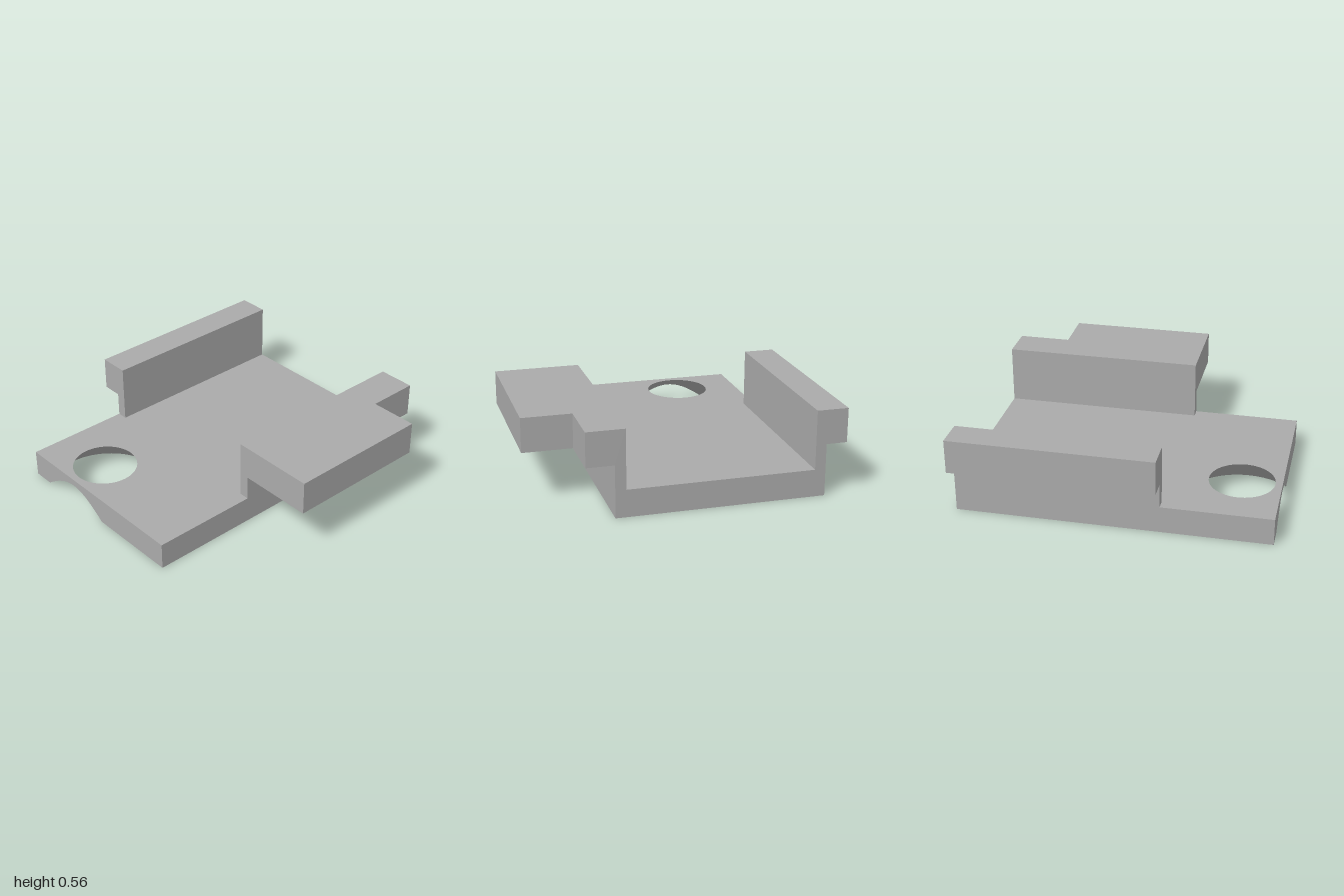
import * as THREE from 'three';
import { mergeGeometries } from 'three/addons/utils/BufferGeometryUtils.js';

const X0 = -0.84, X1 = 0.48, H = 0.175;           // plate sides and thickness
const CX = -0.415, CZ = 0.745, RT = 0.21, RB = 0.383; // countersink centre and radii
const D = 1 - CZ;                                 // hole centre to front edge
const STEP = 0.335, TOP = 0.555, RAIL_FRONT = 0.3;

const v2 = (x, y) => new THREE.Vector2(x, y);
const face = (pts, hole) => {
  const shape = new THREE.Shape(pts);
  if (hole) shape.holes.push(new THREE.Path(hole));
  return new THREE.ShapeGeometry(shape);
};

// Lower end of the cone line at an angle: the underside, or the front face where it breaks out
function foot(a) {
  const s = Math.sin(a);
  const r = s > 0 ? Math.min(RB, D / s) : RB;
  return { r, y: H * (RB - r) / (RB - RT) };
}

// Plate with a conical hole that cuts through the front edge
function plateGeometry() {
  const a0 = Math.asin(D / RB);
  const range = (from, to, n) => Array.from({ length: n + 1 }, (_, i) => from + (to - from) * i / n);
  const frontAngles = range(a0, Math.PI - a0, 28);
  const backAngles = range(Math.PI - a0, 2 * Math.PI + a0, 72);
  const all = [...frontAngles, ...backAngles.slice(1)];

  const top = face([v2(X0, -1), v2(X1, -1), v2(X1, 1), v2(X0, 1)],
    all.slice(1).map(a => v2(CX + RT * Math.cos(a), -CZ - RT * Math.sin(a))));
  top.rotateX(-Math.PI / 2).translate(0, H, 0);

  const arc = backAngles.slice().reverse().map(a => v2(CX + RB * Math.cos(a), CZ + RB * Math.sin(a)));
  const bottom = face([v2(X0, -1), v2(X1, -1), v2(X1, 1), ...arc, v2(X0, 1)]);
  bottom.rotateX(Math.PI / 2);

  const notch = frontAngles.slice().reverse().map(a => {
    const f = foot(a);
    return v2(CX + f.r * Math.cos(a), f.y);
  });
  const front = face([v2(X0, 0), ...notch, v2(X1, 0), v2(X1, H), v2(X0, H)]);
  front.translate(0, 0, 1);

  const back = new THREE.PlaneGeometry(X1 - X0, H).rotateY(Math.PI).translate((X0 + X1) / 2, H / 2, -1);
  const left = new THREE.PlaneGeometry(2, H).rotateY(Math.PI / 2).translate(X1, H / 2, 0);
  const right = new THREE.PlaneGeometry(2, H).rotateY(-Math.PI / 2).translate(X0, H / 2, 0);

  // Cone wall: a strip bent around the hole, first row on top
  const n = all.length;
  const cone = new THREE.PlaneGeometry(1, 1, n - 1, 1);
  const slope = (RB - RT) / H, len = Math.hypot(1, slope);
  all.forEach((a, i) => {
    const f = foot(a), c = Math.cos(a), s = Math.sin(a);
    cone.attributes.position.setXYZ(i, CX + RT * c, H, CZ + RT * s);
    cone.attributes.position.setXYZ(n + i, CX + f.r * c, f.y, CZ + f.r * s);
    for (const k of [i, n + i]) cone.attributes.normal.setXYZ(k, -c / len, -slope / len, -s / len);
  });
  return mergeGeometries([top, bottom, front, back, left, right, cone]);
}

// L-shaped rail section extruded from the back edge forward
function railGeometry(inner, wall, outer) {
  const pts = [v2(inner, H), v2(wall, H), v2(wall, STEP), v2(outer, STEP), v2(outer, TOP), v2(inner, TOP)];
  const geo = new THREE.ExtrudeGeometry(new THREE.Shape(pts), { depth: RAIL_FRONT + 1, bevelEnabled: false });
  return geo.translate(0, 0, -1);
}

export function createModel() {
  const group = new THREE.Group();
  const grey = new THREE.MeshStandardMaterial({ color: 0xaaaaaa });
  grey.name = 'grey';
  const add = (name, geo) => {
    const mesh = new THREE.Mesh(geo, grey);
    mesh.name = name;
    group.add(mesh);
  };

  add('basePlate', plateGeometry());
  add('rightRail', railGeometry(-0.772, X0, -0.972));
  add('leftRail', railGeometry(0.413, X1, 0.655));

  // Wide part of the left flange, stopping short of the back edge
  const w = 0.97 - 0.655, d = RAIL_FRONT + 0.66;
  add('leftFlange', new THREE.BoxGeometry(w, TOP - STEP, d)
    .translate(0.655 + w / 2, (STEP + TOP) / 2, RAIL_FRONT - d / 2));
  return group;
}
